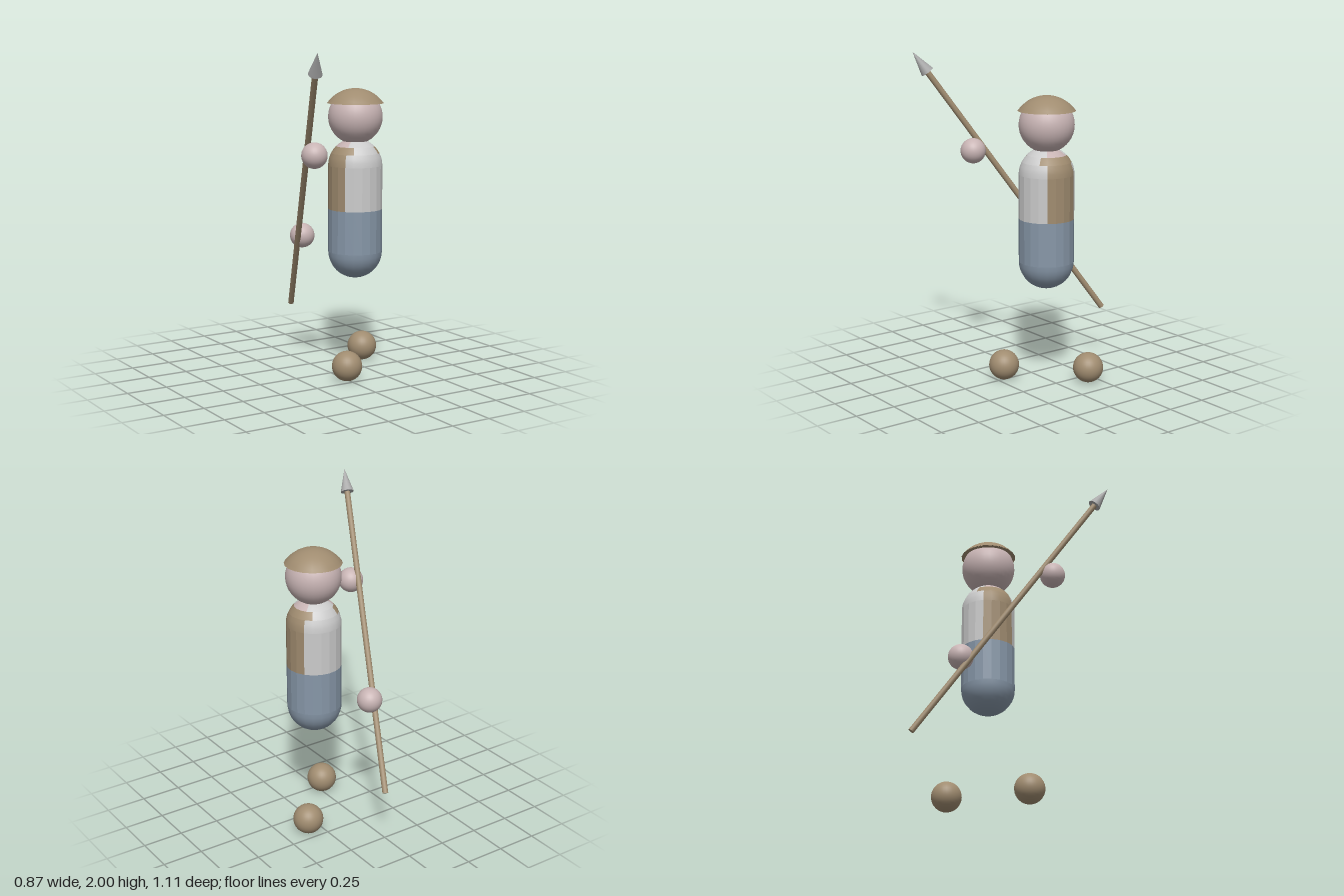
import * as THREE from 'three';

const mat = (color, extra = {}) => new THREE.MeshStandardMaterial({ color, ...extra });
const BROWN = 0xa08c70, SKIN = 0xc8b4b4, BLUE = 0x8797a8, SHIRT = 0xcccccc, STEEL = 0xaaaaaa;
const CX = 0.167, CZ = 0.013;          // axis of the body
const R = 0.166, LOW = 0.76, MID = 1.023, HIGH = 1.29;
const STEP = Math.PI / 10;             // the body has 20 sides

export function createModel() {
  const model = new THREE.Group();

  const add = (name, geometry, color, x, y, z, extra) => {
    const mesh = new THREE.Mesh(geometry, mat(color, extra));
    mesh.name = name;
    mesh.position.set(x, y, z);
    model.add(mesh);
    return mesh;
  };
  const ball = (name, r, color, x, y, z) =>
    add(name, new THREE.SphereGeometry(r, 32, 20), color, x, y, z);

  // Profile of a rounded end between two latitudes in degrees
  const arc = (y, from, to) => {
    const n = Math.max(2, Math.round((to - from) / 9)), pts = [];
    for (let i = 0; i <= n; i++) {
      const a = THREE.MathUtils.degToRad(from + (to - from) * i / n);
      pts.push(new THREE.Vector2(Math.max(0, R * Math.cos(a)), y + R * Math.sin(a)));
    }
    return pts;
  };
  const tube = (y0, y1) => [new THREE.Vector2(R, y0), new THREE.Vector2(R, y1)];
  // A patch of the body covering a number of sides, centred on an angle
  const patch = (name, pts, color, sides, centre = 0, flatShading = false) =>
    add(name, new THREE.LatheGeometry(pts, sides, centre - sides * STEP / 2, sides * STEP),
      color, CX, 0, CZ, { flatShading });

  // Trousers
  patch('trousersBottom', arc(LOW, -90, 0), BLUE, 20);
  patch('trousers', tube(LOW, MID), BLUE, 20, 0, true);

  // Shirt at front and back
  for (const [side, a] of [['Front', 0], ['Back', Math.PI]]) {
    patch('shirt' + side, tube(MID, HIGH), SHIRT, 6, a, true);
    patch('shirtChest' + side, arc(HIGH, 0, 27), SHIRT, 6, a);
    patch('shirtYoke' + side, arc(HIGH, 27, 45), SHIRT, 4, a);
    patch('shirtCollar' + side, arc(HIGH, 45, 90), SHIRT, 6, a);
  }
  // Vest panels at the sides, wider at the shoulders
  for (const [side, a] of [['Left', Math.PI / 2], ['Right', -Math.PI / 2]]) {
    patch('vest' + side, tube(MID, HIGH), BROWN, 4, a, true);
    patch('vestChest' + side, arc(HIGH, 0, 27), BROWN, 4, a);
    patch('vestShoulder' + side, arc(HIGH, 27, 45), BROWN, 6, a);
    patch('neck' + side, arc(HIGH, 45, 90), SKIN, 4, a);
  }

  // Head and domed cap
  ball('head', R, SKIN, CX, 1.587, CZ);
  const capProfile = [new THREE.Vector2(0, 1.7), new THREE.Vector2(0.14, 1.672), new THREE.Vector2(0.172, 1.672)];
  for (let i = 0; i <= 10; i++) {
    const a = 0.966 * (1 - i / 10);
    capProfile.push(new THREE.Vector2(0.209 * Math.sin(a), 1.551 + 0.209 * Math.cos(a)));
  }
  add('cap', new THREE.LatheGeometry(capProfile, 20), BROWN, CX, 0, CZ);

  // Floating hands and feet
  ball('upperHand', 0.077, SKIN, -0.263, 1.396, 0.243);
  ball('lowerHand', 0.077, SKIN, -0.045, 0.835, -0.267);
  ball('rightFoot', 0.092, BROWN, -0.01, 0.096, 0.202);
  ball('leftFoot', 0.092, BROWN, 0.343, 0.096, -0.175);

  // Spear, slanting forward
  const end = new THREE.Vector3(0.03, 0.345, -0.54);
  const tip = new THREE.Vector3(-0.432, 2, 0.557);
  const dir = tip.clone().sub(end).normalize();
  const length = tip.distanceTo(end), headLength = 0.15;
  const spear = new THREE.Group();
  spear.name = 'spear';
  spear.position.copy(end);
  spear.quaternion.setFromUnitVectors(new THREE.Vector3(0, 1, 0), dir);
  const shaftLength = length - headLength;
  const shaft = new THREE.Mesh(new THREE.CylinderGeometry(0.018, 0.018, shaftLength, 16), mat(BROWN));
  shaft.name = 'spearShaft';
  shaft.position.y = shaftLength / 2;
  const head = new THREE.Mesh(new THREE.ConeGeometry(0.041, headLength, 16), mat(STEEL));
  head.name = 'spearHead';
  head.position.y = length - headLength / 2;
  spear.add(shaft, head);
  model.add(spear);

  return model;
}
